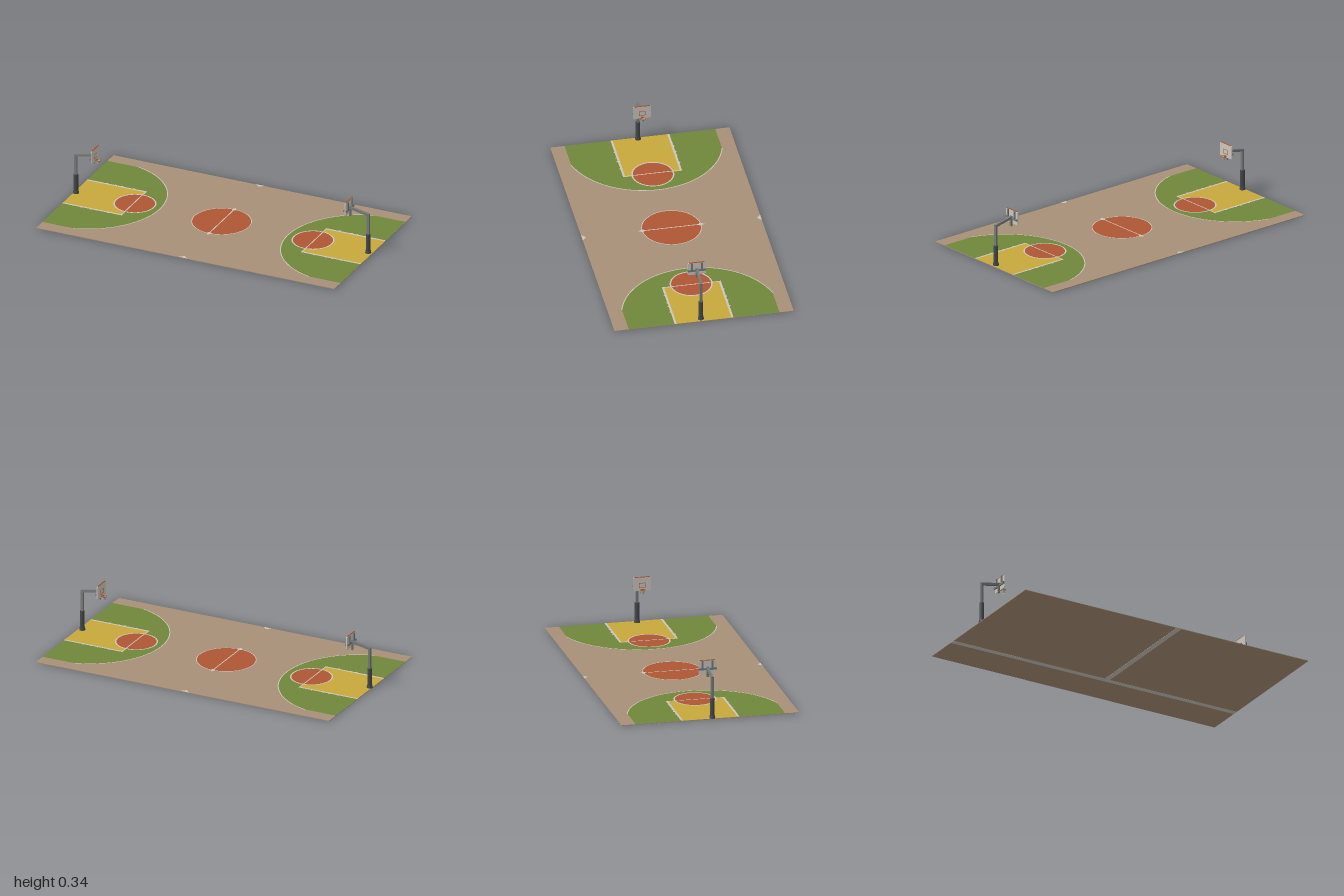
import * as THREE from 'three';

const mat = (name, color, side = THREE.FrontSide) => {
  const m = new THREE.MeshStandardMaterial({ color, side });
  m.name = name;
  return m;
};

export function createModel() {
  const tan = mat('tan floor', 0xa88f77);
  const green = mat('green paint', 0x70873a);
  const yellow = mat('yellow paint', 0xc8a83c);
  const orange = mat('orange paint', 0xae5634);
  const white = mat('off white', 0xcbc5bc);
  const net = mat('net', 0xb8b2a8, THREE.DoubleSide);
  const steel = mat('grey steel', 0x757a79);
  const dark = mat('dark steel', 0x44484a);

  const model = new THREE.Group();
  model.name = 'basketballCourt';

  const add = (parent, name, geo, material, x = 0, y = 0, z = 0) => {
    const m = new THREE.Mesh(geo, material);
    m.name = name;
    m.position.set(x, y, z);
    parent.add(m);
    return m;
  };
  const box = (w, h, d) => new THREE.BoxGeometry(w, h, d);

  // Painted areas lie flat in stacked layers just above the slab
  const TOP = 0.005;
  const paint = (parent, name, geo, material, layer, x = 0, z = 0) =>
    add(parent, name, geo.rotateX(-Math.PI / 2), material, x, TOP + layer * 0.0004, z);
  const rect = (w, d) => new THREE.PlaneGeometry(w, d);

  // Floor slab and the seams on its underside
  add(model, 'floor', box(2, 0.004, 1.11), tan, 0, 0.003, 0);
  add(model, 'longSeam', box(2, 0.001, 0.035), white, 0, 0.0005, -0.31);
  add(model, 'crossSeam', box(0.035, 0.001, 0.8475), white, 0.085, 0.0005, 0.13125);

  // Centre circle, its line and the small pointed marks
  const cx = -0.016;
  paint(model, 'centreCircle', new THREE.CircleGeometry(0.18, 64), orange, 1, cx);
  paint(model, 'centreRing', new THREE.RingGeometry(0.179, 0.184, 64), white, 2, cx);
  paint(model, 'centreLine', rect(0.007, 0.36), white, 3, cx);
  const pointed = (z, dir, w, h) => {
    const s = new THREE.Shape([
      new THREE.Vector2(-w, 0), new THREE.Vector2(w, 0), new THREE.Vector2(0, dir * h),
    ]);
    paint(model, 'centreMark', new THREE.ShapeGeometry(s), white, 3, cx, z);
  };
  for (const s of [-1, 1]) {
    pointed(s * 0.555, s, 0.028, 0.026);
    pointed(s * 0.178, -s, 0.018, 0.026);
    pointed(s * 0.182, s, 0.018, 0.022);
  }

  // Painted zone of one half, built on +x and turned round for the other
  const buildZone = (parent) => {
    const ax = 0.913, r = 0.483, half = 0.467, a = Math.asin(half / r);
    const s = new THREE.Shape();
    s.moveTo(1, -half);
    s.lineTo(ax - r * Math.cos(a), -half);
    s.absarc(ax, 0, r, Math.PI + a, Math.PI - a, true);
    s.lineTo(1, half);
    paint(parent, 'outerZone', new THREE.ShapeGeometry(s, 64), green, 1);
    paint(parent, 'outerArcLine',
      new THREE.RingGeometry(r - 0.002, r + 0.004, 64, 1, Math.PI - a, 2 * a), white, 2, ax);
    paint(parent, 'key', rect(0.4, 0.35), yellow, 2, 0.8);
    for (const side of [-1, 1]) {
      paint(parent, 'keyLine', rect(0.4, 0.013), white, 3, 0.8, side * 0.176);
      for (const x of [0.69, 0.77, 0.81, 0.87])
        paint(parent, 'laneMark', rect(0.012, 0.006), white, 3, x, side * 0.185);
    }
    paint(parent, 'throwCircle', new THREE.CircleGeometry(0.122, 48), orange, 4, 0.597);
    paint(parent, 'throwRing', new THREE.RingGeometry(0.122, 0.131, 48), white, 4, 0.597);
    paint(parent, 'throwLine', rect(0.007, 0.36), white, 5, 0.606);
  };

  // Hoop stand facing -x
  const buildHoop = (parent, z) => {
    const g = new THREE.Group();
    g.name = 'hoopStand';
    g.position.z = z;
    parent.add(g);
    const px = 0.98;

    // Post
    add(g, 'postBase', new THREE.CylinderGeometry(0.016, 0.019, 0.018, 12), dark, px, 0.014, 0);
    add(g, 'lowerPost', new THREE.CylinderGeometry(0.0145, 0.0145, 0.125, 12), dark, px, 0.07, 0);
    add(g, 'upperPost', box(0.015, 0.135, 0.016), steel, px, 0.196, 0);

    // Sloping arm
    const from = new THREE.Vector2(px + 0.007, 0.26), to = new THREE.Vector2(0.862, 0.285);
    const d = to.clone().sub(from);
    const arm = add(g, 'arm', box(d.length(), 0.015, 0.015), steel,
      (from.x + to.x) / 2, (from.y + to.y) / 2, 0);
    arm.rotation.z = Math.atan2(-d.y, -d.x);

    // Frame behind the board
    add(g, 'frameCentre', box(0.01, 0.065, 0.014), steel, 0.86, 0.263, 0);
    add(g, 'frameBar', box(0.008, 0.012, 0.113), steel, 0.858, 0.28, 0);
    for (const s of [-1, 1])
      add(g, 'frameUpright', box(0.008, 0.06, 0.012), steel, 0.858, 0.303, s * 0.031);

    // Board with rounded corners
    const w = 0.0555, h = 0.0435, c = 0.008;
    const b = new THREE.Shape();
    b.absarc(w - c, h - c, c, 0, Math.PI / 2);
    b.absarc(-w + c, h - c, c, Math.PI / 2, Math.PI);
    b.absarc(-w + c, -h + c, c, Math.PI, Math.PI * 1.5);
    b.absarc(w - c, -h + c, c, Math.PI * 1.5, Math.PI * 2);
    const board = new THREE.ExtrudeGeometry(b, { depth: 0.006, bevelEnabled: false, curveSegments: 5 });
    board.translate(0, 0, -0.003).rotateY(-Math.PI / 2);
    add(g, 'board', board, white, 0.851, 0.2905, 0);

    // Painted frames on the face of the board
    const outline = (name, bw, bh, t, y) => {
      for (const s of [-1, 1]) {
        add(g, name, box(0.001, t, bw), orange, 0.8477, y + s * (bh - t) / 2, 0);
        add(g, name, box(0.001, bh - 2 * t, t), orange, 0.8477, y, s * (bw - t) / 2);
      }
    };
    outline('targetSquare', 0.04, 0.03, 0.003, 0.283);
    add(g, 'boardTopEdge', box(0.007, 0.003, 0.097), orange, 0.851, 0.334, 0);

    // Rim and net
    add(g, 'rimBracket', box(0.01, 0.009, 0.014), orange, 0.845, 0.255, 0);
    add(g, 'rim', new THREE.TorusGeometry(0.015, 0.002, 6, 20).rotateX(Math.PI / 2),
      orange, 0.83, 0.257, 0);
    add(g, 'net', new THREE.CylinderGeometry(0.0145, 0.008, 0.024, 12, 1, true),
      net, 0.83, 0.245, 0);
  };

  for (const side of [1, -1]) {
    const end = new THREE.Group();
    end.name = side > 0 ? 'leftEnd' : 'rightEnd';
    if (side < 0) end.rotation.y = Math.PI;
    buildZone(end);
    const stand = new THREE.Group();
    stand.name = 'hoop';
    stand.position.x = -side * 0.006;
    buildHoop(stand, side * 0.015);
    end.add(stand);
    model.add(end);
  }
  return model;
}
